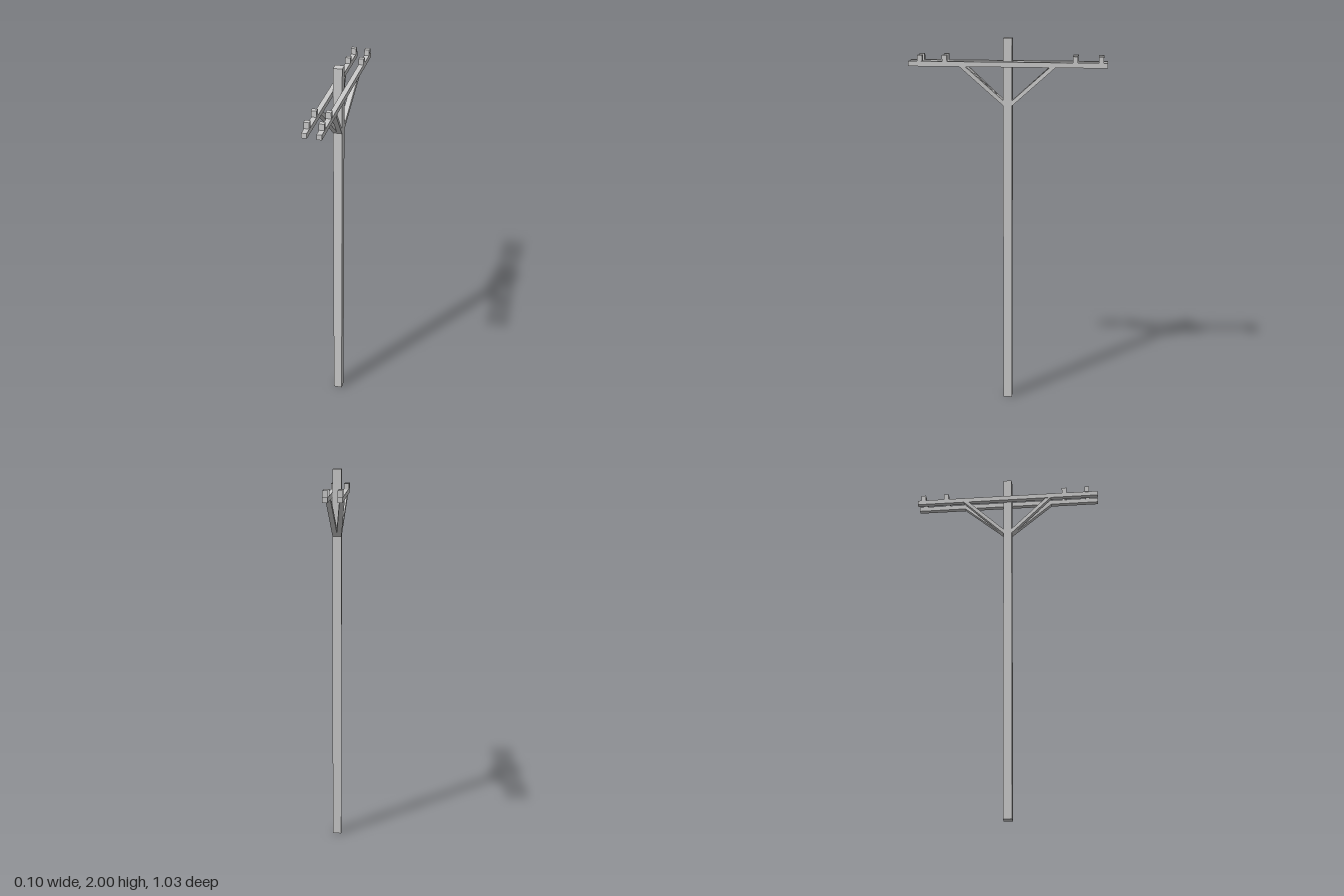
import * as THREE from 'three';

export function createModel() {
  const model = new THREE.Group();
  const material = new THREE.MeshStandardMaterial({ color: 0xcccccc, flatShading: true });

  const add = (name, geometry, x = 0, y = 0, z = 0) => {
    const mesh = new THREE.Mesh(geometry, material);
    mesh.name = name;
    mesh.position.set(x, y, z);
    model.add(mesh);
  };

  // Diagonal brace: a slanted side profile that leans outward away from the pole
  const braceGeometry = (sideX, sideZ) => {
    const profile = [[0.023, 1.65], [0.252, 1.857], [0.222, 1.857], [0.023, 1.677]];
    const shape = new THREE.Shape(profile.map(([z, y]) => new THREE.Vector2(z * sideZ, y)));
    const geometry = new THREE.ExtrudeGeometry(shape, { depth: 0.026, bevelEnabled: false });
    geometry.rotateY(-Math.PI / 2).translate(0.013, 0, 0);
    const p = geometry.attributes.position;
    for (let i = 0; i < p.count; i++) {
      const lean = 0.0103 + (Math.abs(p.getZ(i)) - 0.023) * 0.113;
      p.setX(i, p.getX(i) + sideX * lean);
    }
    geometry.computeVertexNormals();
    return geometry;
  };

  // Square pole
  add('pole', new THREE.BoxGeometry(0.047, 2, 0.047), 0, 1, 0);

  for (const side of [1, -1]) {
    const label = side > 0 ? 'left' : 'right';

    // Crossarm on each face of the pole
    add(`${label}Crossarm`, new THREE.BoxGeometry(0.026, 0.026, 1.032), side * 0.036, 1.867, 0);

    // Insulator blocks on top of the crossarm
    [0.455, 0.326, -0.351, -0.483].forEach((z, i) => {
      const shift = z > 0 ? -0.0015 : 0.0005;
      add(`${label}Insulator${i + 1}`, new THREE.BoxGeometry(0.027, 0.034, 0.026),
        side * 0.036 + shift, 1.895, z);
    });

    // Front and back braces
    add(`${label}FrontBrace`, braceGeometry(side, 1));
    add(`${label}BackBrace`, braceGeometry(side, -1));
  }

  return model;
}
